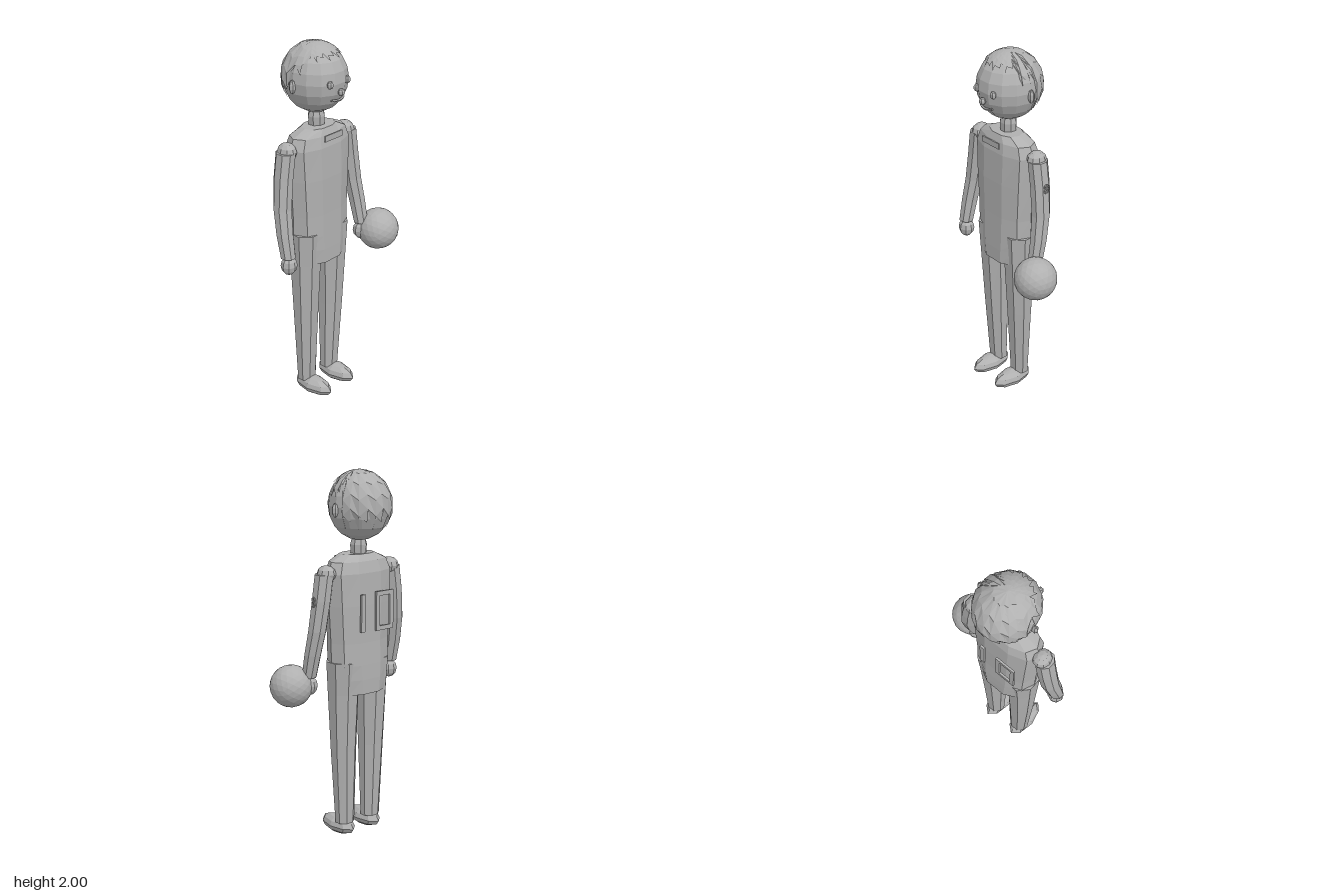
import * as THREE from 'three';

const grey = new THREE.MeshStandardMaterial({ color: 0xb0b0b0, flatShading: true, side: THREE.DoubleSide });
grey.name = 'plain grey';
const CX = -0.075; // middle of the figure, which carries a ball at its left side

function add(parent, name, geo, x = 0, y = 0, z = 0) {
  const mesh = new THREE.Mesh(geo, grey);
  mesh.name = name;
  mesh.position.set(x, y, z);
  parent.add(mesh);
  return mesh;
}

// Closed skin over horizontal rings: [x, y, z, radiusX, radiusZ]
function loft(rings, sides, power = 1) {
  const pos = [], index = [];
  const bulge = (v) => Math.sign(v) * Math.abs(v) ** power;
  rings.forEach(([x, y, z, rx, rz]) => {
    for (let i = 0; i < sides; i++) {
      const a = ((i + 0.5) / sides) * Math.PI * 2;
      pos.push(x + rx * bulge(Math.sin(a)), y, z + rz * bulge(Math.cos(a)));
    }
  });
  for (let r = 0; r < rings.length - 1; r++) {
    for (let i = 0; i < sides; i++) {
      const a = r * sides + i, b = r * sides + (i + 1) % sides;
      index.push(a, a + sides, b, b, a + sides, b + sides);
    }
  }
  const last = (rings.length - 1) * sides;
  for (let i = 1; i < sides - 1; i++) {
    index.push(0, i, i + 1, last, last + i + 1, last + i);
  }
  const geo = new THREE.BufferGeometry();
  geo.setAttribute('position', new THREE.Float32BufferAttribute(pos, 3));
  geo.setIndex(index);
  geo.computeVertexNormals();
  return geo;
}

function ellipsoid(rx, ry, rz, w = 10, h = 7) {
  return new THREE.SphereGeometry(1, w, h).scale(rx, ry, rz);
}

// Hair shell whose lower edge is short at the brow and jagged at the nape
function hairShell() {
  const n = 24, rows = 5, geo = new THREE.SphereGeometry(1, n, rows);
  const p = geo.attributes.position;
  for (let r = 0; r <= rows; r++) {
    for (let i = 0; i <= n; i++) {
      const a = (i / n) * Math.PI * 2;
      const front = Math.cos(a);
      const zig = i % 2 ? 0.06 : -0.06;
      const edge = front > 0.3 ? 0.85 + zig : front > -0.2 ? 1.3 : 2.1 + zig * 2.2;
      const t = (r / rows) * edge;
      p.setXYZ(r * (n + 1) + i, 0.168 * Math.sin(t) * Math.sin(a), 0.186 * Math.cos(t), 0.183 * Math.sin(t) * front);
    }
  }
  geo.computeVertexNormals();
  return geo;
}

function panelFrame(w, h, border, depth) {
  const shape = new THREE.Shape();
  shape.moveTo(-w / 2, -h / 2).lineTo(w / 2, -h / 2).lineTo(w / 2, h / 2).lineTo(-w / 2, h / 2).closePath();
  const a = w / 2 - border, b = h / 2 - border;
  shape.holes.push(new THREE.Path().moveTo(-a, -b).lineTo(-a, b).lineTo(a, b).lineTo(a, -b).closePath());
  return new THREE.ExtrudeGeometry(shape, { depth, bevelEnabled: false });
}

export function createModel() {
  const model = new THREE.Group();
  model.name = 'standingFigure';
  const body = new THREE.Group();
  body.name = 'body';
  body.position.x = CX;
  model.add(body);

  // Head, hair and neck
  const head = new THREE.Group();
  head.name = 'head';
  head.position.set(0, 1.815, -0.033);
  body.add(head);
  add(head, 'skull', ellipsoid(0.164, 0.182, 0.176, 14, 10));
  add(head, 'hair', hairShell());
  add(head, 'nose', ellipsoid(0.019, 0.019, 0.019, 6, 5), 0, -0.045, 0.176);
  const smile = new THREE.QuadraticBezierCurve3(
    new THREE.Vector3(-0.045, -0.083, 0.15), new THREE.Vector3(0, -0.098, 0.17), new THREE.Vector3(0.045, -0.083, 0.15));
  add(head, 'mouth', new THREE.TubeGeometry(smile, 5, 0.007, 5));
  add(body, 'neck', loft([
    [0, 1.65, -0.025, 0.035, 0.035], [0, 1.61, -0.025, 0.047, 0.045], [0, 1.55, -0.025, 0.042, 0.042],
  ], 8));

  // Torso, from collar to jacket hem
  add(body, 'torso', loft([
    [0, 1.565, -0.012, 0.10, 0.068],
    [0, 1.53, -0.018, 0.18, 0.088],
    [0, 1.47, -0.02, 0.205, 0.102],
    [0, 1.30, -0.02, 0.198, 0.108],
    [0, 1.10, -0.02, 0.186, 0.108],
    [0, 0.98, -0.022, 0.184, 0.112],
    [0, 0.90, -0.022, 0.17, 0.114],
    [0, 0.82, -0.022, 0.155, 0.113],
  ], 10, 0.85));

  // Raised panels on chest and back
  add(body, 'chestTag', new THREE.BoxGeometry(0.13, 0.032, 0.008), 0, 1.525, 0.092);
  add(body, 'backFrame', panelFrame(0.12, 0.21, 0.024, 0.012), -0.08, 1.265, -0.148);
  add(body, 'backBar', new THREE.BoxGeometry(0.028, 0.2, 0.012), 0.07, 1.265, -0.142);

  // Paired parts
  for (const s of [-1, 1]) {
    const side = s < 0 ? 'right' : 'left';
    add(head, side + 'Eye', ellipsoid(0.019, 0.021, 0.016, 6, 5), s * 0.064, 0.003, 0.16);
    add(head, side + 'Ear', ellipsoid(0.019, 0.037, 0.017, 6, 5), s * 0.167, -0.015, 0);

    add(body, side + 'Shoulder', ellipsoid(0.048, 0.046, 0.055, 9, 6), s * 0.22, 1.475, -0.025);
    add(body, side + 'Arm', loft([
      [s * 0.232, 1.475, -0.022, 0.05, 0.055],
      [s * 0.252, 1.34, -0.022, 0.05, 0.054],
      [s * 0.272, 1.18, -0.012, 0.049, 0.05],
      [s * 0.284, 1.05, 0.012, 0.046, 0.046],
      [s * 0.288, 0.925, 0.038, 0.041, 0.04],
    ], 8));
    add(body, side + 'Hand', ellipsoid(0.045, 0.052, 0.043, 8, 6), s * 0.285, 0.878, 0.04);

    add(body, side + 'Leg', loft([
      [s * 0.1, 0.995, -0.02, 0.094, 0.1],
      [s * 0.1, 0.82, -0.018, 0.086, 0.087],
      [s * 0.098, 0.5, -0.018, 0.074, 0.068],
      [s * 0.092, 0.08, -0.022, 0.057, 0.046],
    ], 8));

    // Shoe with a narrow toe
    const shoe = ellipsoid(0.06, 0.05, 0.128, 8, 6);
    const p = shoe.attributes.position;
    for (let i = 0; i < p.count; i++) {
      if (p.getY(i) < 0) p.setY(i, p.getY(i) * 0.95);
      if (p.getZ(i) > 0.02) p.setX(i, p.getX(i) * 0.9);
    }
    shoe.computeVertexNormals();
    add(body, side + 'Shoe', shoe, s * 0.093, 0.05, 0.032);
  }

  // Small sleeve badge on the left arm
  for (const y of [1.325, 1.35]) {
    const ring = add(body, 'sleeveBadge', new THREE.TorusGeometry(0.011, 0.005, 5, 7), 0.303, y, -0.02);
    ring.rotation.y = Math.PI / 2;
  }

  // Ball held by the left hand
  add(model, 'ball', new THREE.IcosahedronGeometry(0.114, 3), 0.286, 0.876, 0.1);
  return model;
}
